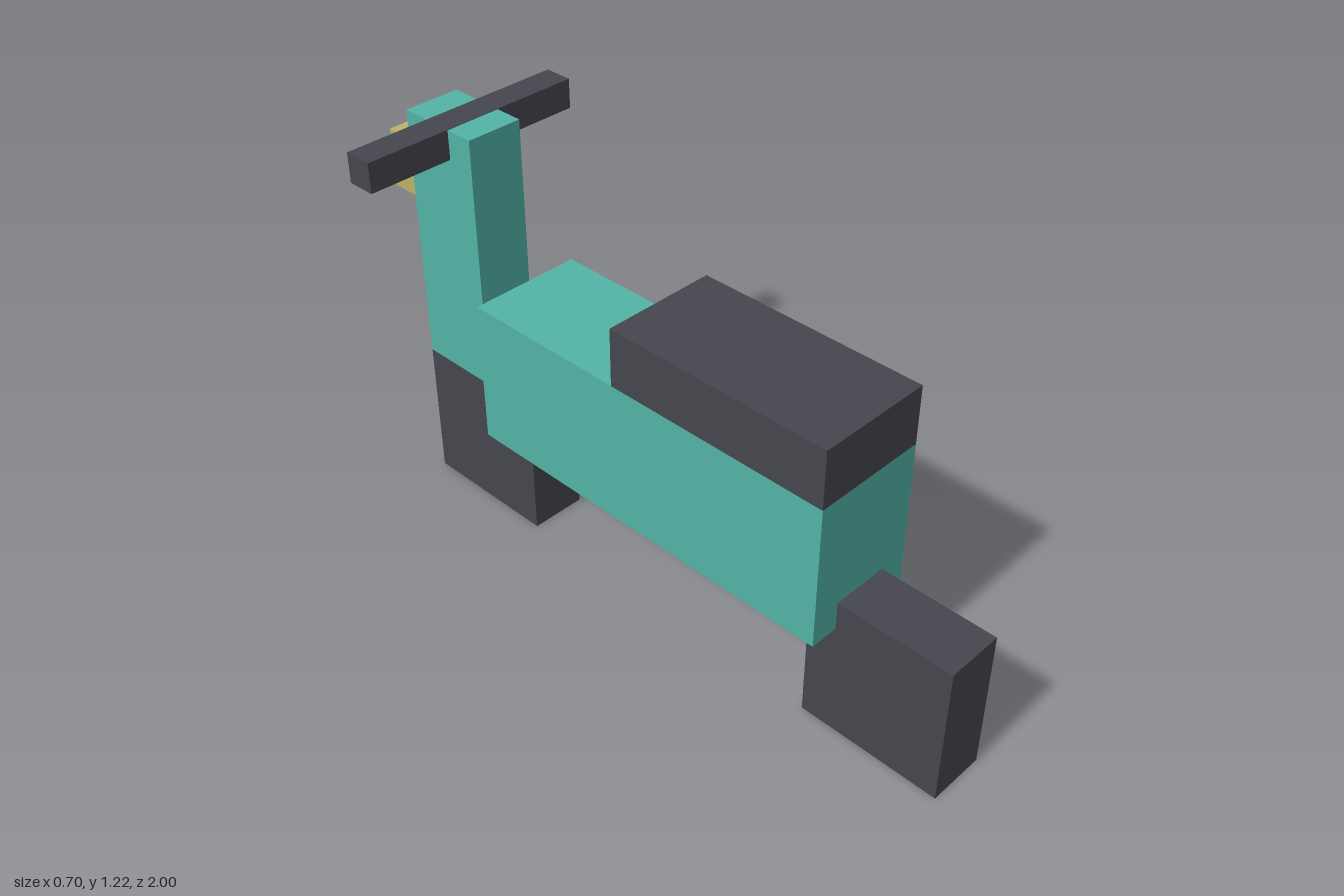
import * as THREE from 'three';

// The design sits on a regular grid; 23 units are half its length.
const U = 1 / 23;

export function createModel() {
  const scooter = new THREE.Group();
  scooter.name = 'scooter';

  const mat = (name, color) => {
    const m = new THREE.MeshStandardMaterial({ color });
    m.name = name;
    return m;
  };
  const teal = mat('teal paint', 0x52b3a5);
  const dark = mat('dark rubber', 0x46464e);
  const yellow = mat('lamp yellow', 0xbfb069);

  // Block centred on x, from y0 to y1 and z0 to z1, in grid units
  const block = (name, material, width, y0, y1, z0, z1) => {
    const geometry = new THREE.BoxGeometry(width * U, (y1 - y0) * U, (z1 - z0) * U);
    const mesh = new THREE.Mesh(geometry, material);
    mesh.name = name;
    mesh.position.set(0, ((y0 + y1) / 2) * U, ((z0 + z1) / 2) * U);
    scooter.add(mesh);
  };

  // Wheels
  block('nearWheel', dark, 4, 0, 10, 13, 23);
  block('steeringWheel', dark, 4, 0, 10, -21, -11);

  // Body and seat
  block('body', teal, 8, 8, 18, -13, 15);
  block('seat', dark, 8, 18, 22, -1, 15);

  // Steering column, handlebar (a hair proud of the column top) and lamp
  block('steeringColumn', teal, 4, 10, 28, -21, -15);
  block('handlebar', dark, 16, 26, 28.03, -19, -17);
  block('headlamp', yellow, 4, 22, 26, -23, -21);

  return scooter;
}
